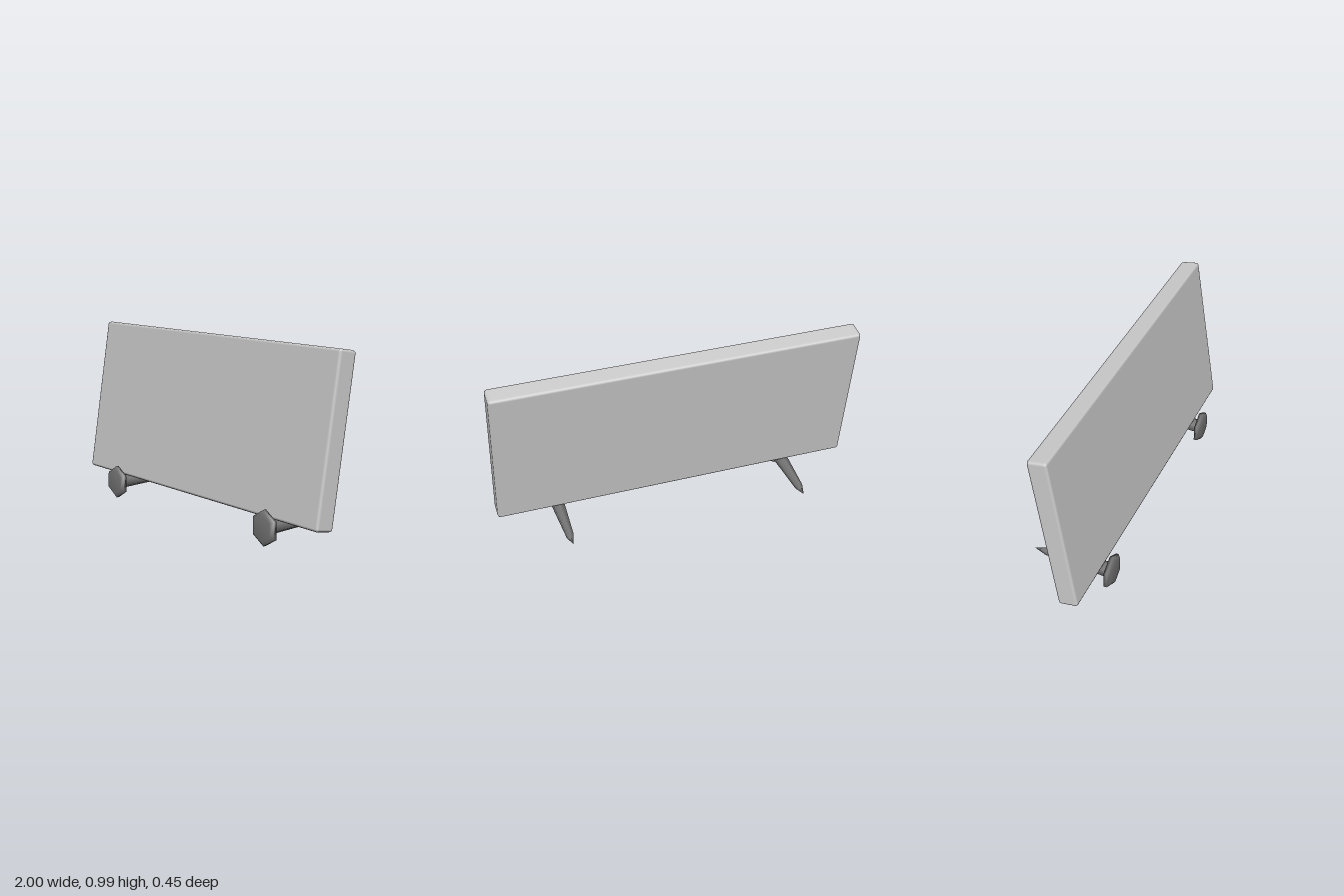
import * as THREE from 'three';
import { RoundedBoxGeometry } from 'three/addons/geometries/RoundedBoxGeometry.js';

const boardMaterial = new THREE.MeshStandardMaterial({ color: 0xcccccc });
const nailMaterial = new THREE.MeshStandardMaterial({ color: 0x777777 });

// Six-sided turned part, laid along z with a corner pointing up
function hexLathe(name, profile) {
  const points = profile.map(([r, z]) => new THREE.Vector2(r, z));
  const geometry = new THREE.LatheGeometry(points, 6);
  geometry.rotateX(Math.PI / 2);
  const mesh = new THREE.Mesh(geometry, nailMaterial);
  mesh.name = name;
  return mesh;
}

function createNail(name, x) {
  const nail = new THREE.Group();
  nail.name = name;
  // Tapered shank ending in a sharp point
  nail.add(hexLathe('nailShank', [[0, -0.225], [0.022, -0.155], [0.042, 0.205]]));
  // Flat head with a chamfered front rim
  nail.add(hexLathe('nailHead', [[0, 0.2], [0.092, 0.2], [0.092, 0.215], [0.072, 0.23], [0, 0.23]]));
  nail.position.set(x, 0.092, 0);
  return nail;
}

export function createModel() {
  const model = new THREE.Group();
  model.name = 'leaningBoard';

  // Board with softened edges, leaning backwards
  const board = new THREE.Mesh(new RoundedBoxGeometry(2, 0.865, 0.106, 1, 0.015), boardMaterial);
  board.name = 'board';
  board.position.set(0, 0.552, 0.057);
  board.rotation.x = -0.156;
  model.add(board);

  // Pair of supporting nails
  model.add(createNail('leftNail', 0.66), createNail('rightNail', -0.66));
  return model;
}
